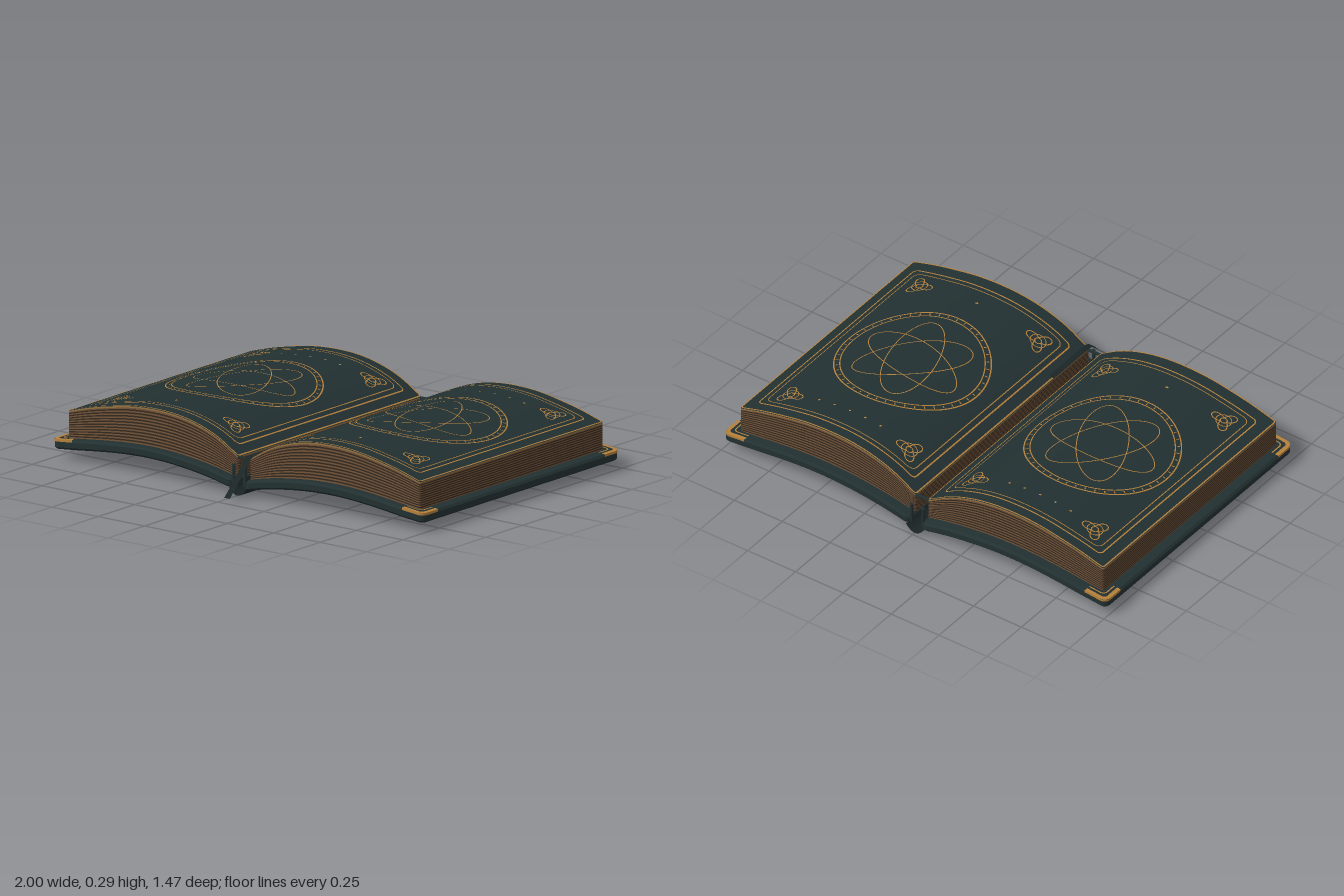
import * as THREE from 'three';
import { mergeGeometries } from 'three/addons/utils/BufferGeometryUtils.js';

const mat = (name, color, side = THREE.FrontSide) => {
  const m = new THREE.MeshStandardMaterial({ color, side });
  m.name = name;
  return m;
};

// Smooth interpolation of evenly spaced heights between x0 and x1
const profile = (x0, x1, k) => (x) => {
  const n = k.length - 1;
  const u = THREE.MathUtils.clamp((x - x0) / (x1 - x0), 0, 1) * n;
  const i = Math.min(Math.floor(u), n - 1), t = u - i;
  const p0 = k[i - 1] ?? 2 * k[0] - k[1], p3 = k[i + 2] ?? 2 * k[n] - k[n - 1];
  const a = (k[i + 1] - p0) / 2, b = (p3 - k[i]) / 2, d = k[i + 1] - k[i];
  return k[i] + t * (a + t * (3 * d - 2 * a - b + t * (a + b - 2 * d)));
};
const pageTop = profile(0.03, 0.95, [0.155, 0.222, 0.263, 0.284, 0.289, 0.282, 0.263, 0.238, 0.205]);
const coverBottom = profile(0.03, 1, [0.024, 0.05, 0.068, 0.079, 0.082, 0.077, 0.066, 0.052, 0.04]);
const coverTop = (x) => coverBottom(x) + 0.042;

// Surface between two rows of points
function strip(a, b, closed = false) {
  const n = a.length, pos = [], idx = [];
  for (let i = 0; i < n; i++) pos.push(...a[i], ...b[i]);
  for (let i = 0; i < (closed ? n : n - 1); i++) {
    const p = 2 * i, q = 2 * ((i + 1) % n);
    idx.push(p, q, q + 1, p, q + 1, p + 1);
  }
  const g = new THREE.BufferGeometry();
  g.setAttribute('position', new THREE.Float32BufferAttribute(pos, 3));
  g.setIndex(idx);
  g.computeVertexNormals();
  return g;
}

// Front half of a rounded rectangle, from x0 to x1, as [x, z]
function frontHalf([x0, x1, z0, z1], inset, r) {
  const p = [], xa = x0 + inset, xb = x1 - inset, zf = z1 - inset;
  for (let i = 0; i <= 5; i++) {
    const t = (i / 5) * Math.PI / 2;
    p.push([xa + r * (1 - Math.cos(t)), zf - r * (1 - Math.sin(t))]);
  }
  for (let i = 1; i < 40; i++) p.push([xa + r + (xb - xa - 2 * r) * i / 40, zf]);
  for (let i = 0; i <= 5; i++) {
    const t = (i / 5) * Math.PI / 2;
    p.push([xb - r * (1 - Math.sin(t)), zf - r * (1 - Math.cos(t))]);
  }
  return p;
}
const backHalf = (rect, f) => f.map(([x, z]) => [x, rect[2] + rect[3] - z]);
const loop = (rect, inset, r) => {
  const f = frontHalf(rect, inset, r);
  return [...f, ...backHalf(rect, f).reverse()];
};
const lift = (pts, h, dy = 0) => pts.map(([x, z]) => [x, h(x) + dy, z]);
const sheet = (rect, inset, r, h) => {
  const f = frontHalf(rect, inset, r);
  return strip(lift(f, h), lift(backHalf(rect, f), h));
};

// Thin line laid over a curved surface
function stroke(pts, h, w = 0.005, closed = true, dy = 0.003) {
  const n = pts.length, a = [], b = [];
  pts.forEach(([x, z], i) => {
    const p = pts[closed ? (i + n - 1) % n : Math.max(i - 1, 0)];
    const q = pts[closed ? (i + 1) % n : Math.min(i + 1, n - 1)];
    const l = Math.hypot(q[0] - p[0], q[1] - p[1]) || 1;
    const ox = (q[1] - p[1]) / l * w / 2, oz = -(q[0] - p[0]) / l * w / 2;
    a.push([x - ox, z - oz]);
    b.push([x + ox, z + oz]);
  });
  return strip(lift(a, h, dy), lift(b, h, dy), closed);
}
const polar = (cx, cz, fn, n = 64) => Array.from({ length: n }, (_, i) => {
  const t = -(i / n) * Math.PI * 2, [x, z] = fn(t);
  return [cx + x, cz + z];
});
const circle = (cx, cz, r, n) => polar(cx, cz, (t) => [r * Math.cos(t), r * Math.sin(t)], n);

const COVER = [0.03, 1, -0.735, 0.615];
const PAGE = [0.03, 0.95, -0.685, 0.57];

// Gold drawing on a page
function pageOrnament(turn) {
  const g = [], cx = 0.497, cz = -0.063;
  const line = (pts, w, closed) => g.push(stroke(pts, pageTop, w, closed));
  line(loop(PAGE, 0.004, 0.012), 0.006);
  line(loop([0.08, 0.895, -0.63, 0.505], 0, 0.02), 0.006);
  line(loop([0.08, 0.895, -0.63, 0.505], 0.024, 0.03), 0.004);
  line(circle(cx, cz, 0.334, 96), 0.006);
  line(circle(cx, cz, 0.308, 96), 0.005);
  for (let i = 0; i < 48; i++) {
    const t = i / 48 * Math.PI * 2, c = Math.cos(t), s = Math.sin(t);
    line([[cx + 0.315 * c, cz + 0.315 * s], [cx + 0.327 * c, cz + 0.327 * s]], 0.005, false);
  }
  // crossing orbits
  for (let k = 0; k < 3; k++) {
    const r = turn + k * Math.PI / 3, c = Math.cos(r), s = Math.sin(r);
    line(polar(cx, cz, (t) => {
      const x = 0.26 * Math.cos(t), z = 0.11 * Math.sin(t);
      return [x * c - z * s, x * s + z * c];
    }), 0.004);
  }
  // corner knots
  for (const x of [0.175, 0.795]) for (const z of [-0.53, 0.4]) {
    const dir = Math.atan2(z - cz, x - cx);
    line(polar(x, z, (t) => {
      const r = 0.04 + 0.022 * Math.cos(3 * (t - dir));
      return [r * Math.cos(t), r * Math.sin(t)];
    }, 40), 0.005);
    line(circle(x, z, 0.034, 28), 0.004);
    line(circle(x, z, 0.015, 16), 0.005);
  }
  // small dots
  for (let i = -2; i <= 2; i++) line(circle(cx + i * 0.08, -0.515, 0.003, 8), 0.005);
  line(circle(cx, 0.402, 0.004, 8), 0.006);
  return mergeGeometries(g);
}

// Bevelled cover board
function coverBoard() {
  const e = 0.009, out = loop(COVER, 0, 0.03), inn = loop(COVER, e, 0.022);
  const under = sheet(COVER, e, 0.022, coverBottom);
  under.setIndex([...under.index.array].reverse());
  under.computeVertexNormals();
  return mergeGeometries([
    under,
    strip(lift(inn, coverBottom), lift(out, coverBottom, e), true),
    strip(lift(out, coverBottom, e), lift(out, coverTop, -e), true),
    strip(lift(out, coverTop, -e), lift(inn, coverTop), true),
    sheet(COVER, e, 0.022, coverTop),
  ]);
}

// Gold corner fittings on the outer corners of the board
function cornerFittings() {
  const g = [];
  for (const back of [false, true]) {
    const path = (inset, r) => {
      const f = frontHalf(COVER, inset, r).slice(-6);
      const p = [[0.89, 0.615 - inset], ...f, [1 - inset, 0.51]];
      return back ? p.map(([x, z]) => [x, -0.12 - z]).reverse() : p;
    };
    g.push(stroke(path(0.008, 0.025), coverTop, 0.018, false));
    g.push(stroke(path(0.032, 0.02), coverTop, 0.006, false));
    g.push(strip(lift(path(-0.001, 0.03), coverTop, -0.008), lift(path(-0.001, 0.03), coverTop, 0.003)));
  }
  return mergeGeometries(g);
}

// Alternating bands of leaves around the page block
function leafBands(parity) {
  const g = [], n = 24, path = loop(PAGE, 0, 0.012);
  const level = (t) => (x) => THREE.MathUtils.lerp(coverTop(x), pageTop(x), t);
  for (let i = parity; i < n - 1; i += 2)
    g.push(strip(lift(path, level(i / n)), lift(path, level((i + 1) / n)), true));
  return mergeGeometries(g);
}
function topLeafEdge() {
  const path = loop(PAGE, 0, 0.012);
  return strip(lift(path, pageTop, -0.007), lift(path, pageTop), true);
}

export function createModel() {
  const book = new THREE.Group();
  book.name = 'openBook';
  const leather = mat('dark teal leather', 0x223031);
  const clothBoth = mat('dark ribbon cloth', 0x1b2526, THREE.DoubleSide);
  const gold = mat('gold', 0xb5803a, THREE.DoubleSide);
  const leaf = mat('brown leaf edge', 0x735338);
  const shadowLeaf = mat('dark leaf edge', 0x33281f);
  const tan = mat('tan leaf edge', 0x94703f);
  const add = (name, geo, material, parent = book) => {
    const m = new THREE.Mesh(geo, material);
    m.name = name;
    parent.add(m);
    return m;
  };

  for (const side of [1, -1]) {
    const half = new THREE.Group();
    half.name = side > 0 ? 'leftHalf' : 'rightHalf';
    book.add(half);
    const put = (name, geo, material) => {
      if (side < 0) {
        geo.scale(-1, 1, 1);
        geo.setIndex([...geo.index.array].reverse());
      }
      add(name, geo, material, half);
    };
    put('coverBoard', coverBoard(), leather);
    put('cornerFittings', cornerFittings(), gold);
    put('leaves', leafBands(0), leaf);
    put('leafGaps', leafBands(1), shadowLeaf);
    put('topLeafEdge', topLeafEdge(), tan);
    put('topPage', sheet(PAGE, 0, 0.012, pageTop), leather);
    put('pageOrnament', pageOrnament(side > 0 ? 0.25 : 0), gold);
    for (const z of [0.6, -0.715]) {
      const post = new THREE.CylinderGeometry(0.008, 0.008, 0.09, 10).translate(0.03, 0.085, z);
      put('spinePost', post, leather);
    }
  }

  // Spine: thin curved shell under the gutter
  const spine = new THREE.PlaneGeometry(0.09, 1.35, 12, 1).rotateX(-Math.PI / 2).translate(0, 0, -0.06);
  const p = spine.attributes.position;
  for (let i = 0; i < p.count; i++) p.setY(i, 0.03 * (p.getX(i) / 0.045) ** 2);
  spine.computeVertexNormals();
  add('spine', spine, clothBoth);

  // Headbands joining the page blocks at both ends
  for (const z of [0.562, -0.677])
    add('headband', new THREE.BoxGeometry(0.066, 0.008, 0.012).translate(0, 0.154, z), leather);

  // Bookmark ribbon hanging over the front edge
  const run = [[0.3, 0.169], [0.57, 0.169], [0.595, 0.155], [0.62, 0.125], [0.66, 0.085], [0.7, 0.045], [0.73, 0.018]];
  add('bookmarkRibbon', strip(run.map(([z, y]) => [0.02, y, z]), run.map(([z, y]) => [0.05, y, z])), clothBoth);
  return book;
}
